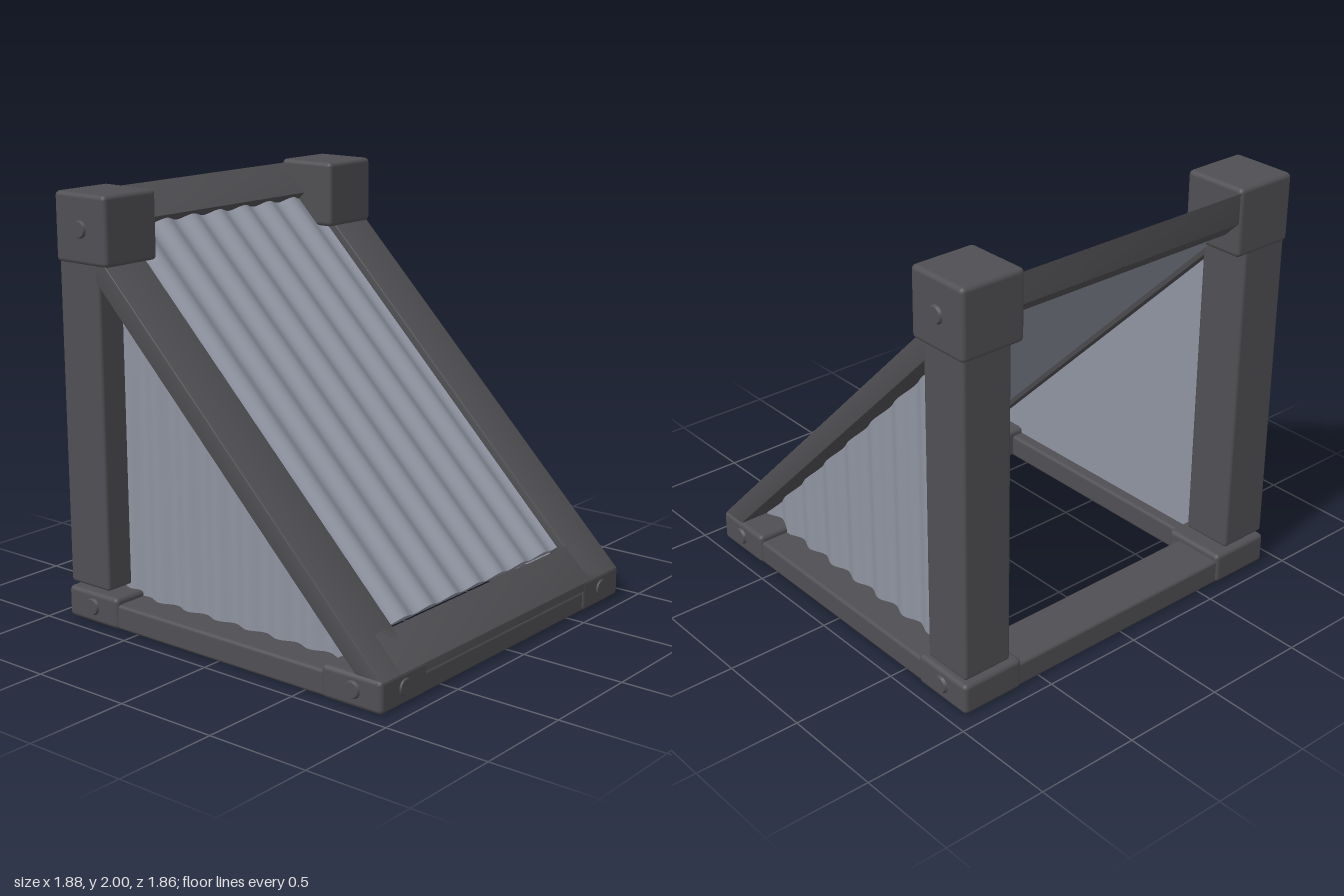
import * as THREE from 'three';
import { toCreasedNormals } from 'three/addons/utils/BufferGeometryUtils.js';
import { RoundedBoxGeometry } from 'three/addons/geometries/RoundedBoxGeometry.js';

export function createModel() {
  const model = new THREE.Group();
  const frameMat = new THREE.MeshStandardMaterial({ color: 0x504f53 });
  frameMat.name = 'dark frame';
  const sheetMat = new THREE.MeshStandardMaterial({ color: 0x8f94a1 });
  sheetMat.name = 'grey corrugated sheet';

  const add = (name, geo, mat) => {
    const mesh = new THREE.Mesh(geo, mat);
    mesh.name = name;
    model.add(mesh);
    return mesh;
  };

  // Softly rounded box given by its limits on each axis
  const block = (name, [x0, x1], [y0, y1], [z0, z1], r = 0.016) => {
    const geo = new RoundedBoxGeometry(x1 - x0, y1 - y0, z1 - z0, 2, r);
    geo.translate((x0 + x1) / 2, (y0 + y1) / 2, (z0 + z1) / 2);
    return add(name, geo, frameMat);
  };

  // Side outline of [z, y] points, extruded across x with a small bevel
  const slab = (name, points, x0, x1) => {
    const b = 0.007;
    const shape = new THREE.Shape(points.map(([z, y]) => new THREE.Vector2(-z, y)));
    const geo = new THREE.ExtrudeGeometry(shape, {
      depth: x1 - x0 - 2 * b, bevelThickness: b, bevelSize: b, bevelOffset: -b, bevelSegments: 2,
    });
    geo.rotateY(Math.PI / 2).translate(x0 + b, 0, 0);
    return add(name, toCreasedNormals(geo, 0.6), frameMat);
  };

  // Corrugated on one face, flat on the other
  const corrugated = (halfWidth, mean, back, phase, depth) => {
    const points = [new THREE.Vector2(-halfWidth, back), new THREE.Vector2(halfWidth, back)];
    const n = 96;
    for (let i = 0; i <= n; i++) {
      const u = halfWidth * (1 - (2 * i) / n);
      points.push(new THREE.Vector2(u, mean + 0.014 * Math.cos(((u - phase) / 0.18) * Math.PI * 2)));
    }
    return new THREE.ExtrudeGeometry(new THREE.Shape(points), { depth, bevelEnabled: false });
  };

  // Fastener with a chamfered head, facing +x, -x or +z
  const bolt = (x, y, z, sideways) => {
    const geo = new THREE.CylinderGeometry(0.035, 0.048, 0.024, 16);
    if (sideways) geo.rotateZ(-Math.sign(x) * Math.PI / 2);
    else geo.rotateX(Math.PI / 2);
    geo.translate(x, y, z);
    add('bolt', geo, frameMat);
  };

  for (const s of [1, -1]) {
    const side = s > 0 ? 'left' : 'right';
    const span = (a, b) => (s > 0 ? [a, b] : [-b, -a]);
    const outer = span(0.61, 0.93);
    const inner = span(0.67, 0.92);

    // Upright post with corner blocks
    block(side + 'Post', inner, [0.17, 1.7], [-0.92, -0.67]);
    block(side + 'TopCornerBlock', outer, [1.68, 2], [-0.93, -0.61], 0.022);
    block(side + 'BackBaseBlock', outer, [0, 0.15], [-0.93, -0.61], 0.022);
    block(side + 'FrontBaseBlock', outer, [0, 0.15], [0.6, 0.922], 0.022);
    block(side + 'BaseBar', inner, [0, 0.12], [-0.9, 0.9]);

    // Sloping rail
    slab(side + 'SlopingRail',
      [[0.92, 0.1], [0.92, 0.14], [-0.92, 1.98], [-0.92, 1.84], [0.82, 0.1]], ...inner);

    // Triangular side sheet, its top cut along the slope
    const geo = corrugated(0.8, 0.766, 0.73, s * 0.05, 1);
    const basis = new THREE.Matrix4().makeBasis(
      new THREE.Vector3(0, 0, s), new THREE.Vector3(s, 0, 0), new THREE.Vector3(0, 1, 0));
    geo.applyMatrix4(basis);
    const p = geo.attributes.position;
    for (let i = 0; i < p.count; i++) p.setY(i, p.getY(i) > 0.5 ? 0.99 - p.getZ(i) : 0.06);
    add(side + 'SideSheet', toCreasedNormals(geo, 0.6), sheetMat);

    // Fasteners
    bolt(s * 0.93, 1.84, -0.77, true);
    bolt(s * 0.93, 0.08, -0.77, true);
    bolt(s * 0.93, 0.08, 0.77, true);
    bolt(s * 0.77, 0.08, 0.918, false);
  }

  // Cross bars of the base
  block('frontBaseBar', [-0.9, 0.9], [0, 0.1], [0.67, 0.915]);
  block('backBaseBar', [-0.9, 0.9], [0, 0.12], [-0.92, -0.67]);

  // Cross bars of the sloping frame
  slab('lowerCrossBar', [[0.92, 0.1], [0.92, 0.14], [0.78, 0.28], [0.71, 0.21], [0.82, 0.1]], -0.8, 0.8);
  slab('upperCrossBar', [[-0.78, 1.84], [-0.92, 1.98], [-0.92, 1.84], [-0.85, 1.77]], -0.8, 0.8);

  // Sloping front sheet
  const front = corrugated(0.69, -0.038, -0.075, 0, 2.24);
  front.rotateX(Math.PI / 4).translate(0, 1.88, -0.82);
  add('frontSheet', toCreasedNormals(front, 0.6), sheetMat);

  return model;
}
